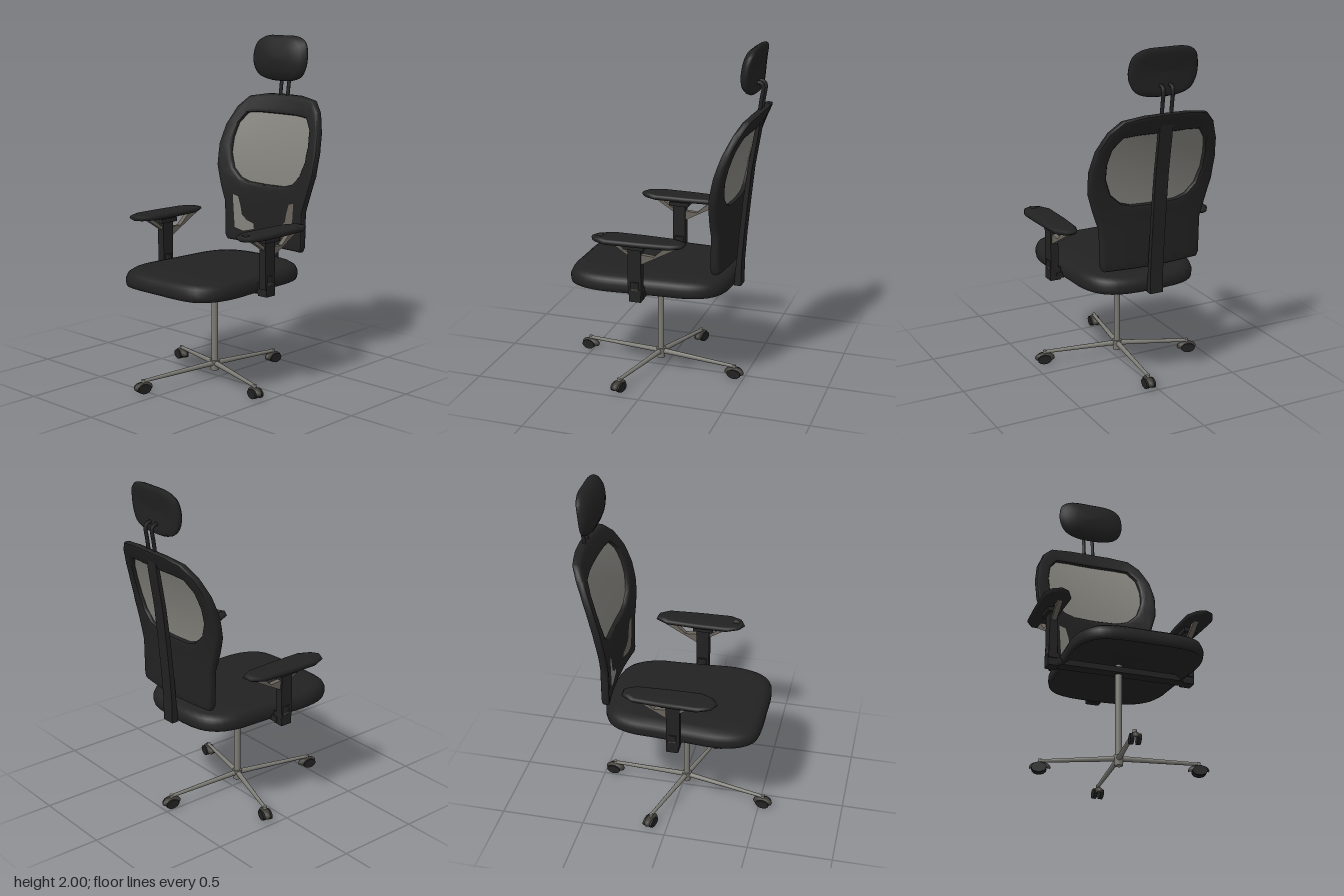
import * as THREE from 'three';
import { toCreasedNormals } from 'three/addons/utils/BufferGeometryUtils.js';

const mat = (name, color, side = THREE.FrontSide) => {
  const m = new THREE.MeshStandardMaterial({ color, side });
  m.name = name;
  return m;
};
const V2 = (p) => new THREE.Vector2(p[0], p[1]);
const V3 = (x, y, z) => new THREE.Vector3(x, y, z);
const CX = 0.005; // centre line of seat, back and headrest

// Full outline from its right half, listed from one end of the centre line to the other
const mirrorHalf = (half) => [...half, ...half.slice(1, -1).reverse().map(([x, y]) => [-x, y])];

// Stack of scaled outlines: outline runs front, +x, back, -x; profile rows are [scale, height]
function loft(outline, profile, cx = 0, cz = 0) {
  const n = outline.length, pos = [], idx = [];
  for (const [s, h] of profile)
    for (const [x, z] of outline) pos.push(cx + (x - cx) * s, h, cz + (z - cz) * s);
  for (let r = 0; r < profile.length - 1; r++)
    for (let i = 0; i < n; i++) {
      const a = r * n + i, b = r * n + (i + 1) % n;
      idx.push(a, b, a + n, b, b + n, a + n);
    }
  const g = new THREE.BufferGeometry();
  g.setAttribute('position', new THREE.Float32BufferAttribute(pos, 3));
  g.setIndex(idx);
  g.computeVertexNormals();
  return g;
}

// Splits long triangles so that a flat panel can be bent smoothly
function subdivide(geo, max) {
  const src = geo.index ? geo.toNonIndexed() : geo, p = src.attributes.position, out = [];
  const split = (t) => {
    const len = [0, 1, 2].map((i) => t[i].distanceTo(t[(i + 1) % 3]));
    const k = len.indexOf(Math.max(...len));
    if (len[k] <= max) return t.forEach((v) => out.push(v.x, v.y, v.z));
    const a = t[k], b = t[(k + 1) % 3], c = t[(k + 2) % 3], m = a.clone().add(b).multiplyScalar(0.5);
    split([a, m, c]);
    split([m, b, c]);
  };
  for (let i = 0; i < p.count; i += 3)
    split([0, 1, 2].map((j) => new THREE.Vector3().fromBufferAttribute(p, i + j)));
  const g = new THREE.BufferGeometry();
  g.setAttribute('position', new THREE.Float32BufferAttribute(out, 3));
  return g;
}

function moveZ(geo, rule) {
  const p = geo.attributes.position;
  for (let i = 0; i < p.count; i++) p.setZ(i, p.getZ(i) + rule(p.getX(i), p.getY(i)));
  geo.computeVertexNormals();
  return geo;
}

// Backrest curve: wraps forward at the sides and leans back towards the top
const backCurve = (x, y) => -0.413 + 0.25 * x * x - 0.36 * Math.max(0, y - 0.98) ** 2;
const bendBack = (geo) => toCreasedNormals(moveZ(subdivide(geo, 0.07), backCurve), 0.7).translate(CX, 0, 0);

// Plate drawn as a side profile of [z, y] points, centred on x
function sidePlate(pts, width, x) {
  const g = new THREE.ExtrudeGeometry(new THREE.Shape(pts.map(V2)), { depth: width, bevelEnabled: false });
  return g.rotateY(-Math.PI / 2).translate(x + width / 2, 0, 0);
}

export function createModel() {
  const model = new THREE.Group();
  model.name = 'officeChair';
  const black = mat('black', 0x222222);
  const mesh = mat('meshGrey', 0x83827c, THREE.DoubleSide);
  const steel = mat('steel', 0x7c7b75);
  const warm = mat('warmGrey', 0x69645c);
  const casterGrey = mat('casterGrey', 0x3f3c37);
  const add = (name, geo, m, parent = model) => {
    const o = new THREE.Mesh(geo, m);
    o.name = name;
    parent.add(o);
    return o;
  };
  const box = (w, h, d, x, y, z) => new THREE.BoxGeometry(w, h, d).translate(x, y, z);
  const rod = (name, a, b, ra, rb, m) => {
    const d = b.clone().sub(a);
    const o = add(name, new THREE.CylinderGeometry(rb, ra, d.length(), 10), m);
    o.position.copy(a).add(b).multiplyScalar(0.5);
    o.quaternion.setFromUnitVectors(V3(0, 1, 0), d.normalize());
  };

  // Seat cushion with a recessed underside
  const seatHalf = [[0, 0.51], [0.18, 0.508], [0.285, 0.482], [0.35, 0.4], [0.376, 0.28], [0.367, 0.1],
    [0.355, -0.1], [0.345, -0.24], [0.3, -0.35], [0.21, -0.415], [0, -0.437]];
  const seatLine = new THREE.CatmullRomCurve3(mirrorHalf(seatHalf).map(([x, z]) => V3(x, 0, z)), true)
    .getPoints(60).slice(0, -1).map((v) => [v.x, v.z]);
  add('seat', loft(seatLine, [[0, 0.645], [0.8, 0.64], [0.93, 0.605], [0.96, 0.592], [0.99, 0.596], [1, 0.615],
    [1, 0.64], [0.975, 0.667], [0.92, 0.684], [0.82, 0.692], [0.5, 0.696], [0, 0.697]], 0, 0.035)
    .translate(CX, 0, 0), black);
  add('armCrossbar', box(0.8, 0.035, 0.075, 0, 0.605, 0.035), black);

  // Backrest frame with a mesh window
  const frame = new THREE.Shape(mirrorHalf([[0, 0.738], [0.295, 0.742], [0.31, 0.77], [0.314, 0.98], [0.348, 1.08],
    [0.384, 1.2], [0.39, 1.33], [0.37, 1.45], [0.32, 1.56], [0.255, 1.625], [0.13, 1.645], [0, 1.648]]).map(V2));
  const windowLine = mirrorHalf([[0, 1.112], [0.14, 1.116], [0.205, 1.135], [0.265, 1.19], [0.298, 1.28],
    [0.302, 1.37], [0.285, 1.46], [0.235, 1.525], [0.15, 1.533], [0, 1.533]]).map(V2);
  frame.holes.push(new THREE.Path(windowLine));
  add('backFrame', bendBack(new THREE.ExtrudeGeometry(frame, { depth: 0.024, bevelThickness: 0.013, bevelSize: 0.018,
    bevelOffset: -0.018, bevelSegments: 2 }).translate(0, 0, -0.012)), black);
  add('backMesh', bendBack(new THREE.ShapeGeometry(new THREE.Shape(windowLine))), mesh);

  // Lumbar insets on the front of the backrest
  const inset = [[0.245, 1.03], [0.205, 1.02], [0.185, 0.96], [0.175, 0.91], [0.135, 0.88], [0.085, 0.865],
    [0.08, 0.832], [0.165, 0.81], [0.23, 0.825]];
  for (const s of [-1, 1])
    add('lumbarInset', bendBack(new THREE.ShapeGeometry(new THREE.Shape(inset.map(([x, y]) => V2([s * x, y]))))
      .translate(0, 0, 0.029)), s < 0 ? mesh : warm);

  // Spine behind the back
  add('spine', sidePlate([[-0.432, 0.59], [-0.443, 0.72], [-0.458, 0.9], [-0.476, 1.1], [-0.5, 1.3], [-0.533, 1.5],
    [-0.558, 1.64], [-0.575, 1.64], [-0.557, 1.5], [-0.525, 1.3], [-0.505, 1.1], [-0.487, 0.9], [-0.475, 0.72],
    [-0.475, 0.59]], 0.08, CX), black);

  // Headrest and its two rods
  const headLine = new THREE.CatmullRomCurve3(mirrorHalf([[0, 0.135], [0.1, 0.128], [0.17, 0.1], [0.206, 0.04],
    [0.21, -0.03], [0.19, -0.095], [0.13, -0.13], [0, -0.136]]).map(([x, z]) => V3(x, 0, z)), true)
    .getPoints(42).slice(0, -1).map((v) => [v.x, v.z]);
  const head = loft(headLine, [[0, 0], [0.75, 0], [0.95, 0.006], [1, 0.02], [0.97, 0.036], [0.85, 0.056],
    [0.5, 0.07], [0, 0.073]]).rotateX(Math.PI / 2).translate(CX, 1.865, -0.542);
  add('headrest', moveZ(head, (x, y) => -0.9 * (y - 1.82) ** 2), black);
  for (const x of [-0.025, 0.033]) {
    const path = new THREE.CatmullRomCurve3([V3(x, 1.58, -0.553), V3(x, 1.7, -0.568), V3(x, 1.77, -0.577),
      V3(x, 1.79, -0.568), V3(x, 1.795, -0.53)]);
    add('headrestRod', new THREE.TubeGeometry(path, 16, 0.011, 8), black);
  }

  // Arms
  const padLine = [[0.43, 0.295], [0.48, 0.27], [0.51, 0.2], [0.505, 0], [0.492, -0.19], [0.45, -0.25],
    [0.395, -0.253], [0.36, -0.19], [0.35, 0], [0.35, 0.2], [0.385, 0.27]];
  const padProfile = [[0, 0.914], [0.5, 0.916], [0.93, 0.927], [1, 0.938], [0.97, 0.951], [0.86, 0.956], [0, 0.957]];
  for (const s of [-1, 1]) {
    const arm = new THREE.Group();
    arm.name = s > 0 ? 'leftArm' : 'rightArm';
    model.add(arm);
    const line = s > 0 ? padLine : padLine.map(([x, z]) => [-x, z]).reverse();
    add('armPad', loft(line, padProfile, s * 0.43, 0.02), black, arm);
    add('armPost', box(0.048, 0.3, 0.078, s * 0.412, 0.77, 0.04), black, arm);
    add('armPostHead', box(0.08, 0.025, 0.12, s * 0.415, 0.905, 0.04), black, arm);
    add('armClamp', box(0.066, 0.075, 0.07, s * 0.406, 0.615, 0.037), black, arm);
    add('armCollar', new THREE.CylinderGeometry(0.036, 0.036, 0.05, 12).translate(s * 0.41, 0.672, 0.038), black, arm);
    add('collarRing', new THREE.CylinderGeometry(0.037, 0.037, 0.012, 12).translate(s * 0.41, 0.652, 0.038), casterGrey, arm);
    add('frontBrace', sidePlate([[0.075, 0.845], [0.075, 0.865], [0.15, 0.918], [0.19, 0.918]].reverse(), 0.03, s * 0.412),
      warm, arm);
    add('rearBrace', sidePlate([[0.005, 0.8], [0.005, 0.86], [-0.07, 0.855], [-0.14, 0.918], [-0.21, 0.918]].reverse(),
      0.03, s * 0.412), warm, arm);
  }
  add('armButton', box(0.032, 0.006, 0.032, 0.435, 0.957, 0.24), casterGrey);

  // Column and four-legged base with casters
  const bx = -0.008, bz = 0.03;
  rod('column', V3(bx, 0.06, bz), V3(bx, 0.645, bz), 0.019, 0.019, steel);
  rod('hub', V3(bx, 0.05, bz), V3(bx, 0.11, bz), 0.024, 0.029, steel);
  for (const [x, z] of [[-0.1, 0.522], [0.42, 0.145], [0.035, -0.44], [-0.42, -0.1]]) {
    rod('baseLeg', V3(bx, 0.092, bz), V3(x, 0.072, z), 0.016, 0.01, steel);
    const caster = new THREE.Group();
    caster.name = 'caster';
    caster.position.set(x, 0.035, z);
    caster.rotation.y = Math.atan2(x - bx, z - bz);
    model.add(caster);
    for (const s of [-1, 1])
      add('wheel', new THREE.CylinderGeometry(0.028, 0.028, 0.02, 14).rotateZ(Math.PI / 2)
        .scale(1, 1, 1.5).translate(s * 0.019, -0.004, 0.005), black, caster);
    add('casterHood', new THREE.SphereGeometry(1, 14, 8, 0, Math.PI * 2, 0, Math.PI * 0.6)
      .scale(0.029, 0.032, 0.06), casterGrey, caster);
    add('casterStem', new THREE.CylinderGeometry(0.011, 0.011, 0.025, 10).translate(0, 0.035, 0), steel, caster);
  }
  return model;
}
